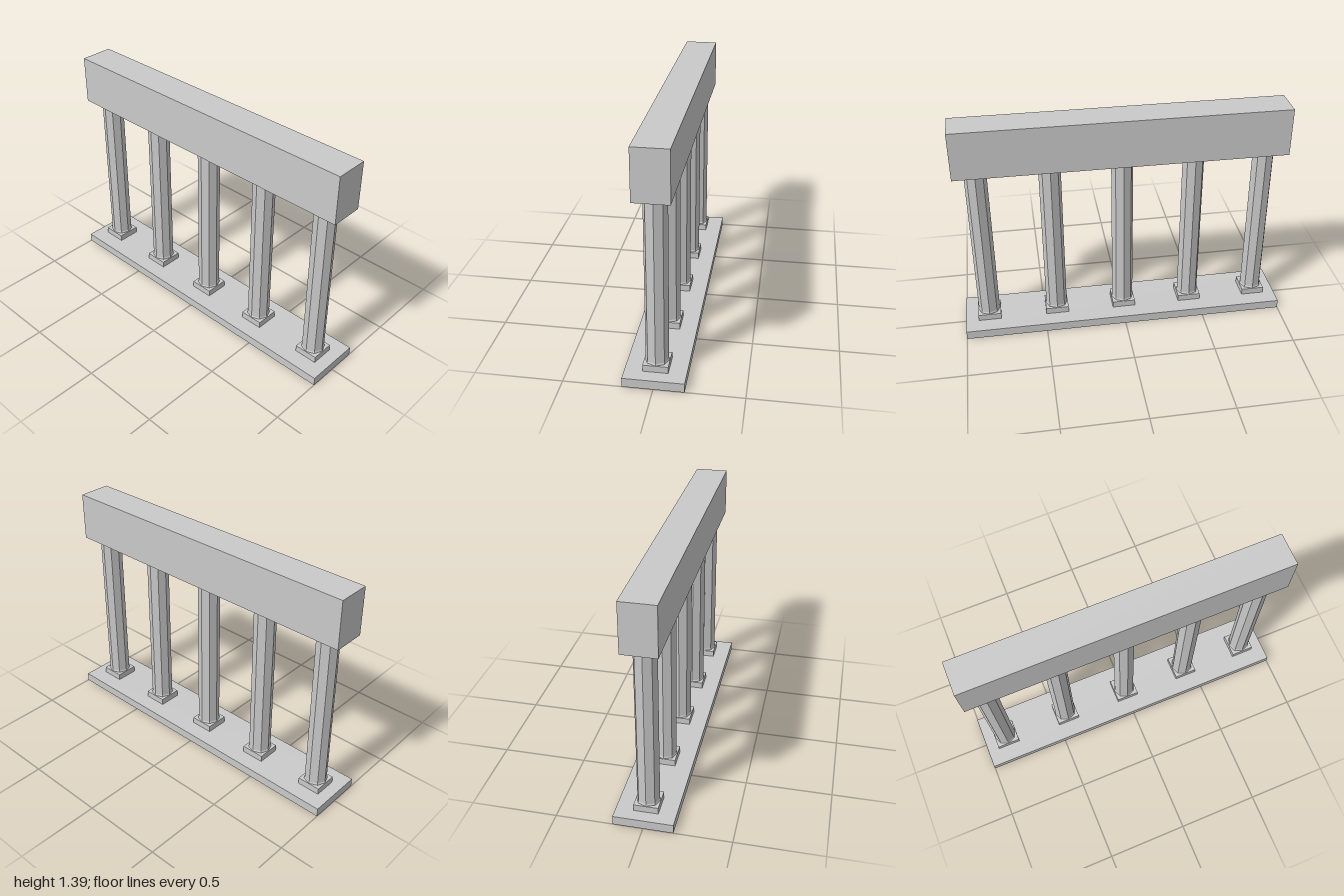
import * as THREE from 'three';

export function createModel() {
  const model = new THREE.Group();
  const stone = new THREE.MeshStandardMaterial({ color: 0xcacaca });
  stone.name = 'light grey stone';

  const add = (name, geometry, x, y, z, parent = model) => {
    const mesh = new THREE.Mesh(geometry, stone);
    mesh.name = name;
    mesh.position.set(x, y, z);
    parent.add(mesh);
    return mesh;
  };

  // Box given by its bottom and top heights
  const slab = (name, width, bottom, top, depth, x, parent) =>
    add(name, new THREE.BoxGeometry(width, top - bottom, depth), x, (bottom + top) / 2, 0, parent);

  slab('basePlate', 2, 0, 0.055, 0.344, 0);
  slab('topBeam', 1.965, 1.095, 1.388, 0.2, -0.002);

  // Faceted eight-sided shaft with a slight flare at foot and head
  const profile = [
    [0.069, 0.095], [0.069, 0.098], [0.0655, 0.106],
    [0.0655, 1.082], [0.07, 1.09], [0.07, 1.095],
  ].map(([r, y]) => new THREE.Vector2(r, y));
  const shaft = new THREE.LatheGeometry(profile, 8).toNonIndexed();
  shaft.computeVertexNormals();

  // Five evenly spaced columns on square plinths
  for (let i = 0; i < 5; i++) {
    const column = new THREE.Group();
    column.name = `column${i + 1}`;
    column.position.x = -0.003 + (i - 2) * 0.427;
    slab('plinth', 0.142, 0.055, 0.095, 0.142, 0, column);
    add('shaft', shaft, 0, 0, 0, column);
    model.add(column);
  }
  return model;
}
